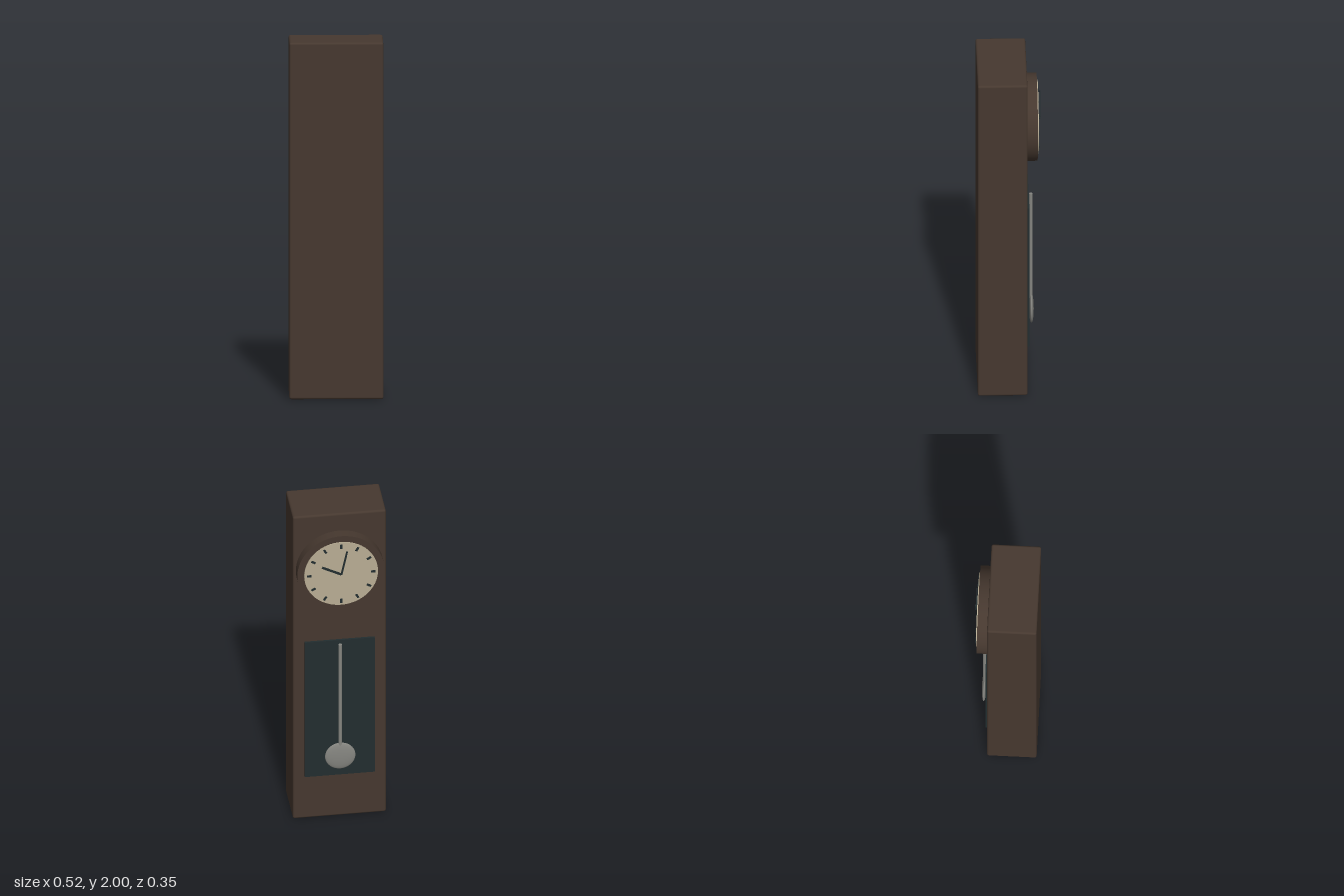
import * as THREE from 'three';
import { RoundedBoxGeometry } from 'three/addons/geometries/RoundedBoxGeometry.js';

const material = (name, color) => {
  const m = new THREE.MeshStandardMaterial({ color });
  m.name = name;
  return m;
};

export function createModel() {
  const wood = material('dark wood', 0x46382f);
  const cream = material('cream dial', 0xb8ad94);
  const dark = material('dark glass', 0x222d2f);
  const metal = material('grey metal', 0x858580);

  const clock = new THREE.Group();
  clock.name = 'pendulumClock';

  const add = (name, geometry, mat, x, y, z, parent = clock) => {
    const mesh = new THREE.Mesh(geometry, mat);
    mesh.name = name;
    mesh.position.set(x, y, z);
    parent.add(mesh);
    return mesh;
  };
  // Disc with its axis along z
  const disc = (r, depth) => new THREE.CylinderGeometry(r, r, depth, 64).rotateX(Math.PI / 2);

  // Tall case
  add('case', new RoundedBoxGeometry(0.52, 2, 0.275, 3, 0.012), wood, 0, 1, 0.0375);

  // Round clock head on the -z side
  const centreY = 1.645;
  add('bezel', disc(0.244, 0.068), wood, 0, centreY, -0.124);
  add('dial', disc(0.206, 0.008), cream, 0, centreY, -0.16);

  // Hour marks
  const marks = new THREE.Group();
  marks.name = 'hourMarks';
  marks.position.set(0, centreY, -0.1655);
  clock.add(marks);
  for (let i = 0; i < 12; i++) {
    const a = (i / 12) * Math.PI * 2;
    const mark = add('hourMark', new THREE.BoxGeometry(0.012, 0.026, 0.005), dark,
      Math.sin(a) * 0.179, Math.cos(a) * 0.179, 0, marks);
    mark.rotation.z = -a;
  }

  // Hands pivot at their lower end; a positive angle leans towards +x
  const hand = (name, length, width, degrees, z) => {
    const geometry = new THREE.BoxGeometry(width, length, 0.006).translate(0, length / 2, 0);
    add(name, geometry, dark, 0, centreY, z).rotation.z = -THREE.MathUtils.degToRad(degrees);
  };
  hand('hourHand', 0.12, 0.012, 63, -0.172);
  hand('minuteHand', 0.152, 0.009, -12, -0.175);

  // Pendulum window
  add('pendulumWindow', new THREE.BoxGeometry(0.39, 0.89, 0.02), dark, 0, 0.725, -0.102);

  // Pendulum
  add('pendulumRod', new THREE.CylinderGeometry(0.01, 0.01, 0.7, 20), metal, 0, 0.8, -0.125);
  add('pendulumBob', new THREE.SphereGeometry(0.085, 40, 24).scale(1, 1, 0.16), metal, 0, 0.415, -0.127);

  return clock;
}
